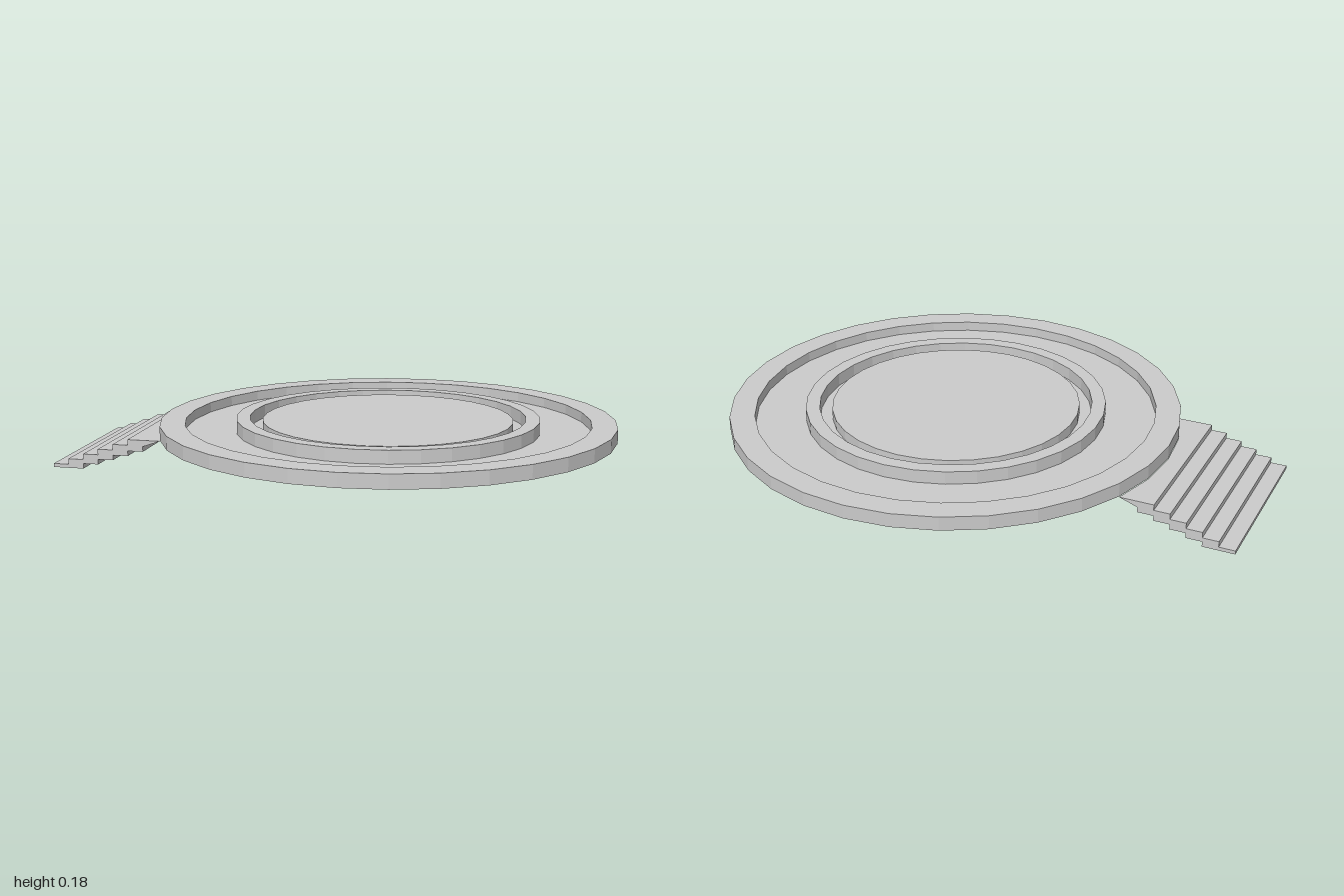
import * as THREE from 'three';

const SIDES = 32, RADIUS = 0.82;

// Round platform: raised rim, sunken channel, inner kerb, moat and centre disc
function makePlatform(material) {
  const profile = [
    [0, 0.118], [RADIUS, 0.118], [RADIUS, 0.168], [0.73, 0.168],
    [0.73, 0.132], [0.547, 0.132], [0.547, 0.179], [0.497, 0.179],
    [0.497, 0.132], [0.452, 0.132], [0.452, 0.17], [0, 0.17],
  ].map(([r, y]) => new THREE.Vector2(r, y));
  const mesh = new THREE.Mesh(new THREE.LatheGeometry(profile, SIDES), material);
  mesh.name = 'platform';
  return mesh;
}

// Side profile of the stairs; the landing ends at radius "end"
function stairProfile(end) {
  const r = (k) => -(1.165 - 0.057 * k);
  const top = (k) => 0.013 + 0.0205 * k;
  const pts = [[r(0), 0], [r(0), top(0)]];
  for (let k = 1; k <= 5; k++) pts.push([r(k), top(k - 1)], [r(k), top(k)]);
  pts.push([-end, top(5)]);
  for (let j = 5; j >= 1; j--) pts.push([r(j + 1), 0.0185 * j], [r(j + 1), 0.0185 * (j - 1)]);
  return pts;
}

// Stairs lofted across the width, the landing following the platform's edge
function makeStairs(material) {
  const positions = [], index = [], sections = [];
  for (let k = -2; k <= 2; k++) {
    const a = (k * 2 * Math.PI) / SIDES;
    const section = stairProfile(RADIUS * Math.cos(a));
    sections.push(section);
    section.forEach(([x, y]) => positions.push(x, y, RADIUS * Math.sin(a)));
  }
  const n = sections[0].length;
  for (let s = 0; s < 4; s++) {
    for (let i = 0; i < n; i++) {
      const j = (i + 1) % n;
      const a = s * n + i, b = a + n, c = s * n + j, d = c + n;
      index.push(a, b, d, a, d, c);
    }
  }
  // Side walls
  const outline = sections[0].map(([x, y]) => new THREE.Vector2(x, y));
  for (const [a, b, c] of THREE.ShapeUtils.triangulateShape(outline, [])) {
    index.push(a, c, b, 4 * n + a, 4 * n + b, 4 * n + c);
  }
  const geometry = new THREE.BufferGeometry();
  geometry.setAttribute('position', new THREE.Float32BufferAttribute(positions, 3));
  geometry.setIndex(index);
  const flat = geometry.toNonIndexed();
  flat.computeVertexNormals();
  const mesh = new THREE.Mesh(flat, material);
  mesh.name = 'stairs';
  return mesh;
}

export function createModel() {
  const stone = new THREE.MeshStandardMaterial({ color: 0xcccccc, flatShading: true });
  const stairStone = stone.clone();
  stairStone.side = THREE.DoubleSide;
  const body = new THREE.Group();
  body.name = 'roundPlatformWithStairs';
  body.add(makePlatform(stone), makeStairs(stairStone));
  body.position.x = 0.18;
  body.rotation.y = -0.05;
  const model = new THREE.Group();
  model.add(body);
  return model;
}
